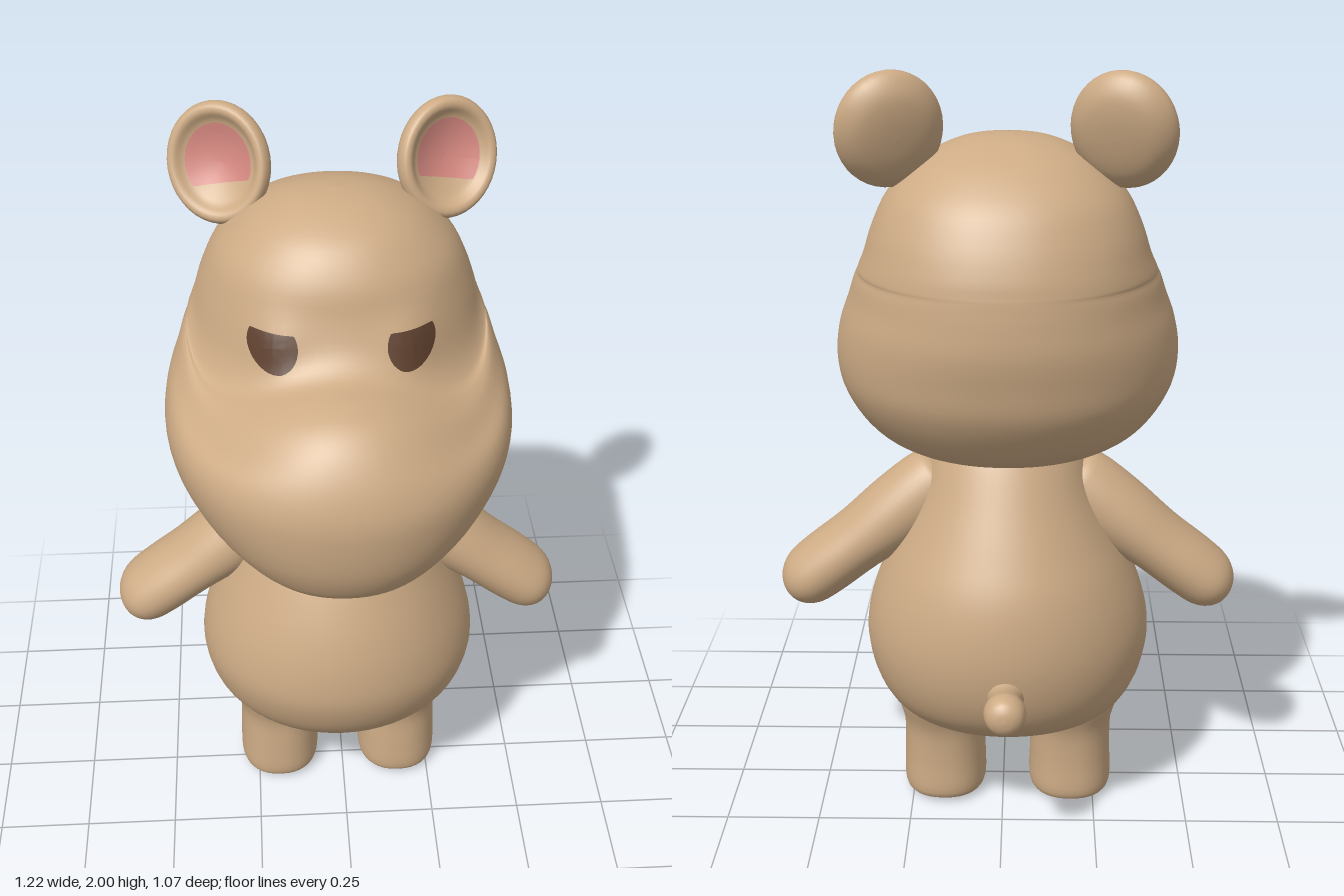
import * as THREE from 'three';
import { mergeVertices } from 'three/addons/utils/BufferGeometryUtils.js';

const mat = (name, color) => Object.assign(new THREE.MeshStandardMaterial({ color }), { name });

// Catmull-Rom blend of four values
const spline = (a, b, c, d, t) =>
  0.5 * (2 * b + (c - a) * t + (2 * a - 5 * b + 4 * c - d) * t * t + (3 * b - a - 3 * c + d) * t * t * t);

// Smooth skin over cross-sections [y, halfWidth, zFront, zBack, zWidest], listed bottom to top
function loft(keys, { power = 1, segments = 56, steps = 4, deform } = {}) {
  const full = keys.map((k) => [k[0], k[1], k[2], k[3], k[4] ?? (k[2] + k[3]) / 2]);
  const key = (i) => full[Math.min(Math.max(i, 0), full.length - 1)];
  const pw = (v) => Math.sign(v) * Math.abs(v) ** power;
  const rows = (full.length - 1) * steps + 1;
  const pos = [];
  const index = [];
  for (let r = 0; r < rows; r++) {
    const i = Math.floor(r / steps);
    const t = (r % steps) / steps;
    const [y, w, zf, zb, zc] = key(i).map((v, k) => spline(key(i - 1)[k], v, key(i + 1)[k], key(i + 2)[k], t));
    for (let j = 0; j < segments; j++) {
      const a = (j / segments) * Math.PI * 2;
      const c = pw(Math.cos(a));
      const s = pw(Math.sin(a));
      const p = new THREE.Vector3(Math.max(w, 0) * c, y, zc + (s > 0 ? zf - zc : zc - zb) * s);
      if (deform) deform(p, c, s);
      pos.push(p.x, p.y, p.z);
      if (r < rows - 1) {
        const n = (j + 1) % segments;
        const [A, B, C, D] = [r * segments + j, r * segments + n, (r + 1) * segments + j, (r + 1) * segments + n];
        index.push(A, C, B, B, C, D);
      }
    }
  }
  let geo = new THREE.BufferGeometry();
  geo.setAttribute('position', new THREE.Float32BufferAttribute(pos, 3));
  geo.setIndex(index);
  geo = mergeVertices(geo, 1e-5);
  geo.computeVertexNormals();
  return geo;
}

// Turned shape from a smoothed profile of [radius, height]
const turned = (profile) =>
  new THREE.LatheGeometry(new THREE.SplineCurve(profile.map(([x, y]) => new THREE.Vector2(x, y))).getPoints(36)
    .map((p) => p.setX(Math.max(p.x, 0))), 40);

// Thin disc whose vertices are moved by a rule
function patch(rule) {
  const geo = new THREE.RingGeometry(0, 1, 36, 5);
  const pos = geo.attributes.position;
  for (let i = 0; i < pos.count; i++) pos.setXYZ(i, ...rule(pos.getX(i), pos.getY(i)));
  geo.computeVertexNormals();
  return geo;
}

export function createModel() {
  const skin = mat('tan skin', 0xcdab85);
  const pink = mat('inner ear pink', 0xd58880);
  const brown = mat('eye brown', 0x5e402e);
  const model = new THREE.Group();
  model.name = 'hippo';
  const add = (name, geo, material, parent = model) => {
    const mesh = new THREE.Mesh(geo, material);
    mesh.name = name;
    parent.add(mesh);
    return mesh;
  };

  // Head: broad muzzle below, narrower domed cranium above
  const headKeys = [
    [0.945, 0, 0.25, 0.25, 0.25], [0.95, 0.09, 0.33, 0.15, 0.24], [0.965, 0.16, 0.39, 0.07, 0.21],
    [0.99, 0.23, 0.43, -0.06, 0.15], [1.015, 0.28, 0.47, -0.23, 0.1], [1.06, 0.34, 0.5, -0.33, 0.04],
    [1.12, 0.39, 0.523, -0.39, 0.01], [1.2, 0.43, 0.535, -0.44, 0], [1.28, 0.442, 0.535, -0.46, 0],
    [1.36, 0.43, 0.51, -0.475, -0.01], [1.43, 0.405, 0.465, -0.475, -0.03], [1.475, 0.39, 0.41, -0.472, -0.05],
    [1.497, 0.38, 0.34, -0.47, -0.06], [1.51, 0.375, 0.27, -0.468, -0.08], [1.55, 0.358, 0.222, -0.46, -0.1],
    [1.62, 0.335, 0.19, -0.435, -0.11], [1.7, 0.295, 0.165, -0.39, -0.11], [1.77, 0.225, 0.115, -0.31, -0.11],
    [1.81, 0.155, 0.05, -0.23, -0.1], [1.832, 0.085, -0.02, -0.16, -0.09], [1.84, 0, -0.09, -0.09, -0.09],
  ];
  const head = add('head', loft(headKeys, {
    power: 0.94, segments: 80,
    deform(p, c, s) {
      if (s <= 0) return;
      // muzzle top droops to the sides, eyelids bulge a little
      const lid = Math.exp(-(((Math.abs(p.x) - 0.17) / 0.07) ** 2) - ((p.y - 1.58) / 0.06) ** 2);
      p.y -= 0.2 * c * c * s * Math.exp(-(((p.y - 1.48) / 0.12) ** 2));
      p.z += 0.022 * lid * s;
    },
  }), skin);

  // Pear-shaped body
  add('body', loft([
    [0.2, 0, -0.03, -0.03], [0.205, 0.1, 0.04, -0.1], [0.225, 0.2, 0.1, -0.18], [0.26, 0.27, 0.17, -0.26],
    [0.32, 0.325, 0.24, -0.34], [0.4, 0.365, 0.3, -0.385], [0.5, 0.382, 0.335, -0.405], [0.6, 0.366, 0.333, -0.402],
    [0.7, 0.328, 0.31, -0.38], [0.8, 0.28, 0.27, -0.335], [0.9, 0.235, 0.22, -0.285], [1, 0.2, 0.17, -0.235],
    [1.06, 0.17, 0.14, -0.2],
  ]), skin);

  const legGeo = loft([
    [0, 0, -0.033, -0.033], [0.002, 0.06, 0.04, -0.1], [0.007, 0.094, 0.084, -0.148], [0.03, 0.113, 0.105, -0.172],
    [0.12, 0.112, 0.103, -0.172], [0.22, 0.112, 0.1, -0.18], [0.3, 0.13, 0.12, -0.21], [0.36, 0.13, 0.12, -0.21],
  ], { power: 0.85, segments: 40 });

  const armGeo = loft([
    [-0.5, 0, 0], [-0.492, 0.035, 0.05], [-0.47, 0.062, 0.085], [-0.43, 0.08, 0.108], [-0.36, 0.085, 0.115],
    [-0.25, 0.086, 0.115], [-0.12, 0.098, 0.113], [0, 0.1, 0.1], [0.05, 0.08, 0.08], [0.08, 0, 0],
  ].map(([y, w, d]) => [y, w, d, -d]), { segments: 40 });

  // Cupped ear with a rounded rim, opening towards +z
  const bowl = (r) => -0.005 + 3 * r * r;
  const earGeo = turned([
    [0, -0.05], [0.05, -0.047], [0.095, -0.035], [0.125, -0.01], [0.135, 0.015], [0.127, 0.037], [0.11, 0.038],
    [0.093, bowl(0.093)], [0.07, bowl(0.07)], [0.035, bowl(0.035)], [0, bowl(0)],
  ]).rotateX(Math.PI / 2).scale(1, 1.11, 1);
  const innerEarGeo = patch((u, v) => {
    const x = u * 0.087;
    const y = Math.max(v * 0.087, -0.045);
    return [x, y * 1.11, bowl(Math.hypot(x, y)) + 0.005];
  });

  // Height of the face at (x, y), used to lay the eyes on it
  const ray = new THREE.Raycaster();
  const faceZ = (x, y) => {
    ray.set(new THREE.Vector3(x, y, 2), new THREE.Vector3(0, 0, -1));
    return ray.intersectObject(head)[0]?.point.z ?? 0.2;
  };

  for (const side of [1, -1]) {
    const label = side > 0 ? 'left' : 'right';
    add(label + 'Leg', legGeo, skin).position.x = side * 0.175;

    const arm = add(label + 'Arm', armGeo, skin);
    arm.position.set(side * 0.2, 0.9, -0.045);
    arm.rotation.z = side * 0.91;

    const ear = new THREE.Group();
    ear.name = label + 'Ear';
    ear.position.set(side * 0.275, 1.853, -0.21);
    ear.rotation.set(-0.3, side * 0.4, -side * 0.25, 'YXZ');
    add(label + 'EarShell', earGeo, skin, ear);
    add(label + 'InnerEar', innerEarGeo, pink, ear);
    model.add(ear);

    // Sleepy eye: disc with a flat upper lid
    add(label + 'Eye', patch((u, v) => {
      const x = side * 0.166 + u * 0.06;
      const y = 1.565 + Math.min(v * 0.06, 0.031);
      return [x, y, faceZ(x, y) + 0.006];
    }), brown);
  }

  // Stubby tail
  const tail = add('tail', turned([
    [0.06, 0], [0.043, 0.04], [0.045, 0.075], [0.054, 0.11], [0.046, 0.143], [0.025, 0.16], [0, 0.165],
  ]).rotateX(-Math.PI / 2), skin);
  tail.position.set(0, 0.45, -0.367);

  model.position.x = -0.012;
  return model;
}
